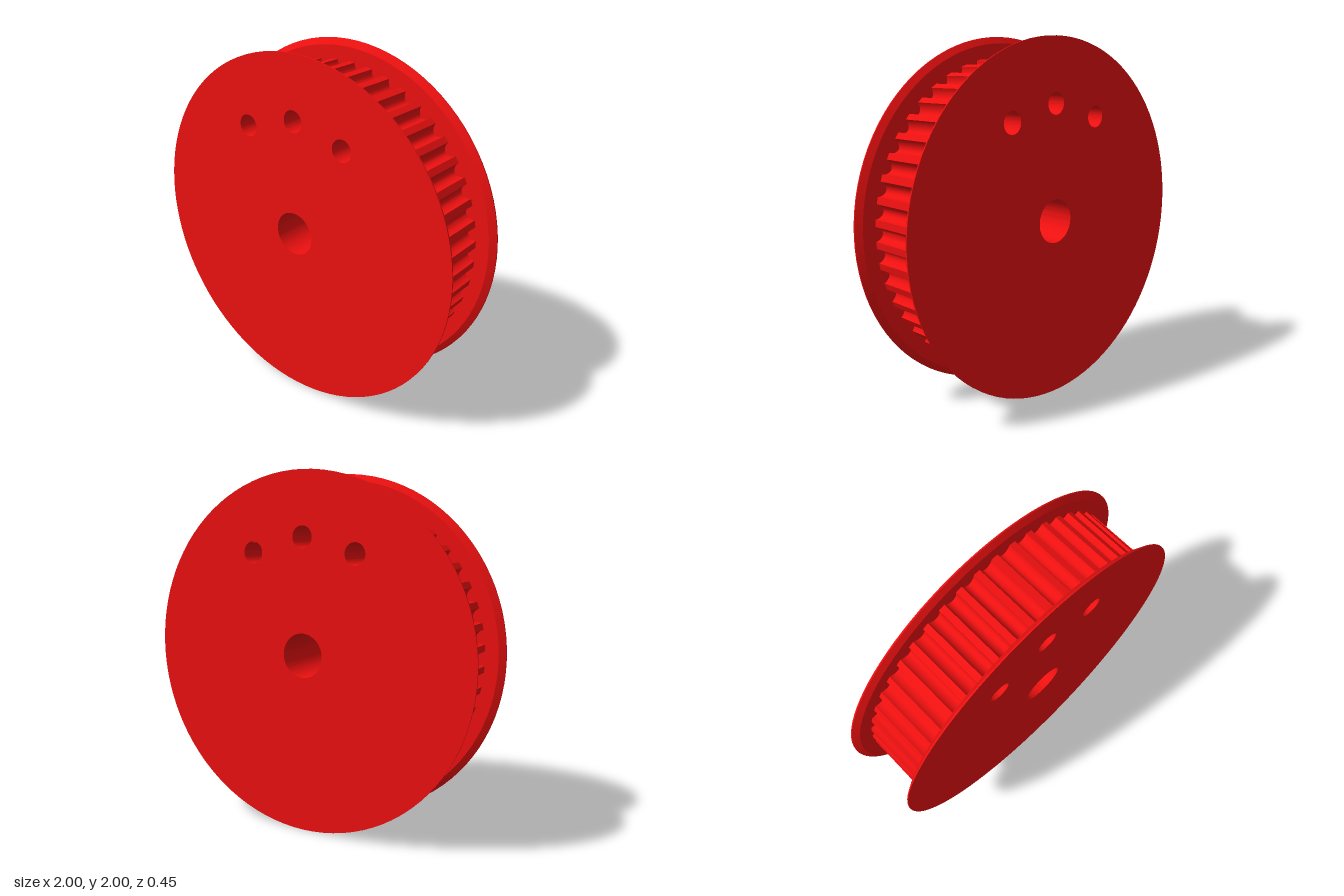
import * as THREE from 'three';
import { toCreasedNormals } from 'three/addons/utils/BufferGeometryUtils.js';

const TEETH = 48, TIP_R = 0.89, GROOVE_DEPTH = 0.045;
const CORE_HALF = 0.195, FLANGE = 0.03, RIM_R = 1, INNER_RIM_R = 0.965;

// Bore and three lightening holes, cut through every layer
function addHoles(shape) {
  const hole = (x, y, r) => shape.holes.push(new THREE.Path().absarc(x, y, r, 0, Math.PI * 2, true));
  hole(0, 0, 0.123);
  for (const deg of [60, 90, 120]) {
    const a = THREE.MathUtils.degToRad(deg);
    hole(0.645 * Math.cos(a), 0.645 * Math.sin(a), 0.061);
  }
  return shape;
}

// Belt wheel outline: rounded grooves between narrow lands
function toothedShape() {
  const points = [], pitch = (Math.PI * 2) / TEETH, half = pitch * 0.34, n = 12;
  for (let i = 0; i < TEETH; i++) {
    for (let j = 0; j <= n; j++) {
      const u = -Math.cos((Math.PI * j) / n);
      const a = i * pitch + u * half;
      const r = TIP_R - GROOVE_DEPTH * Math.pow(Math.max(0, 1 - u * u), 0.6);
      points.push(new THREE.Vector2(r * Math.cos(a), r * Math.sin(a)));
    }
  }
  return addHoles(new THREE.Shape(points));
}

// Flange disc: a thin straight rim, then a bevel towards the belt side (z = 0)
function flangeGeometry() {
  const shape = addHoles(new THREE.Shape().absarc(0, 0, RIM_R, 0, Math.PI * 2, false));
  const geo = new THREE.ExtrudeGeometry(shape, { depth: FLANGE, steps: 4, bevelEnabled: false, curveSegments: 48 });
  const pos = geo.attributes.position;
  for (let i = 0; i < pos.count; i++) {
    const x = pos.getX(i), y = pos.getY(i);
    if (Math.hypot(x, y) < 0.9) continue;
    const t = Math.min(1, pos.getZ(i) / (FLANGE * 0.75));
    const s = THREE.MathUtils.lerp(INNER_RIM_R, RIM_R, t);
    pos.setXY(i, x * s, y * s);
  }
  return toCreasedNormals(geo, 0.5);
}

export function createModel() {
  const group = new THREE.Group();
  group.name = 'timingPulley';
  const red = new THREE.MeshStandardMaterial({ color: 0xee1010 });

  // Toothed core
  const coreGeo = new THREE.ExtrudeGeometry(toothedShape(), {
    depth: CORE_HALF * 2, bevelEnabled: false, curveSegments: 48,
  });
  coreGeo.translate(0, 0, -CORE_HALF);
  const core = new THREE.Mesh(toCreasedNormals(coreGeo, 0.5), red);
  core.name = 'toothedCore';
  core.position.y = RIM_R;
  group.add(core);

  // Matching flanges on both sides
  const flangeGeo = flangeGeometry();
  for (const side of [1, -1]) {
    const flange = new THREE.Mesh(flangeGeo, red);
    flange.name = side > 0 ? 'frontFlange' : 'backFlange';
    flange.position.set(0, RIM_R, side * CORE_HALF);
    if (side < 0) flange.rotation.y = Math.PI;
    group.add(flange);
  }
  return group;
}
